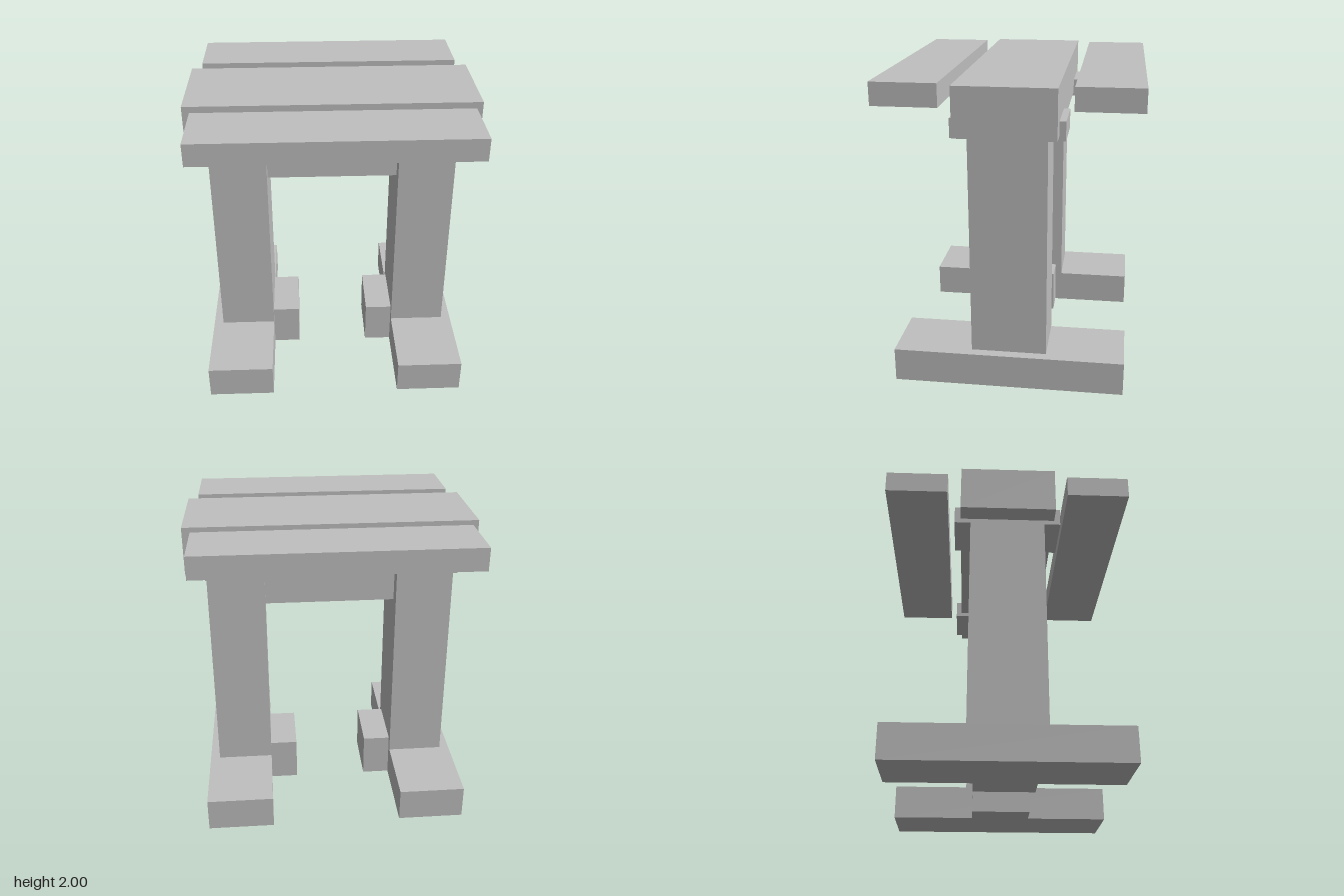
import * as THREE from 'three';

export function createModel() {
  const model = new THREE.Group();
  const stone = new THREE.MeshStandardMaterial({ color: 0xc0c0c0 });
  stone.name = 'pale grey';

  // Box given by its lower and upper limits on each axis
  function block(name, [x0, x1], [y0, y1], [z0, z1]) {
    const mesh = new THREE.Mesh(new THREE.BoxGeometry(x1 - x0, y1 - y0, z1 - z0), stone);
    mesh.position.set((x0 + x1) / 2, (y0 + y1) / 2, (z0 + z1) / 2);
    mesh.name = name;
    model.add(mesh);
  }

  // The same range, mirrored to the other side when s is -1
  const side = (s, a, b) => (s > 0 ? [a, b] : [-b, -a]);

  // Central top beam and the rail between the posts
  block('topBeam', [-0.935, 0.935], [1.69, 2], [-0.31, 0.31]);
  block('crossRail', [-0.435, 0.435], [1.4, 1.625], [-0.15, 0.15]);

  for (const s of [1, -1]) {
    const label = s > 0 ? 'left' : 'right';

    // Leg: foot, post and inner foot block
    block(label + 'Foot', side(s, 0.435, 0.875), [0, 0.225], [-0.75, 0.75]);
    block(label + 'Post', side(s, 0.435, 0.81), [0.225, 1.69], [-0.245, 0.245]);
    block(label + 'FootBlock', side(s, 0.25, 0.435), [0, 0.3], [-0.2, 0.2]);

    // Cleats on the front and back of the post
    for (const f of [1, -1]) {
      block(label + (f > 0 ? 'Front' : 'Back') + 'Cleat',
        side(s, 0.475, 0.81), [1.66, 1.78], side(f, 0.245, 0.35));
    }

    // Outer top plank, front and back
    block(s > 0 ? 'frontPlank' : 'backPlank', [-0.875, 0.875], [1.855, 2], side(s, 0.4, 0.81));
  }
  return model;
}
